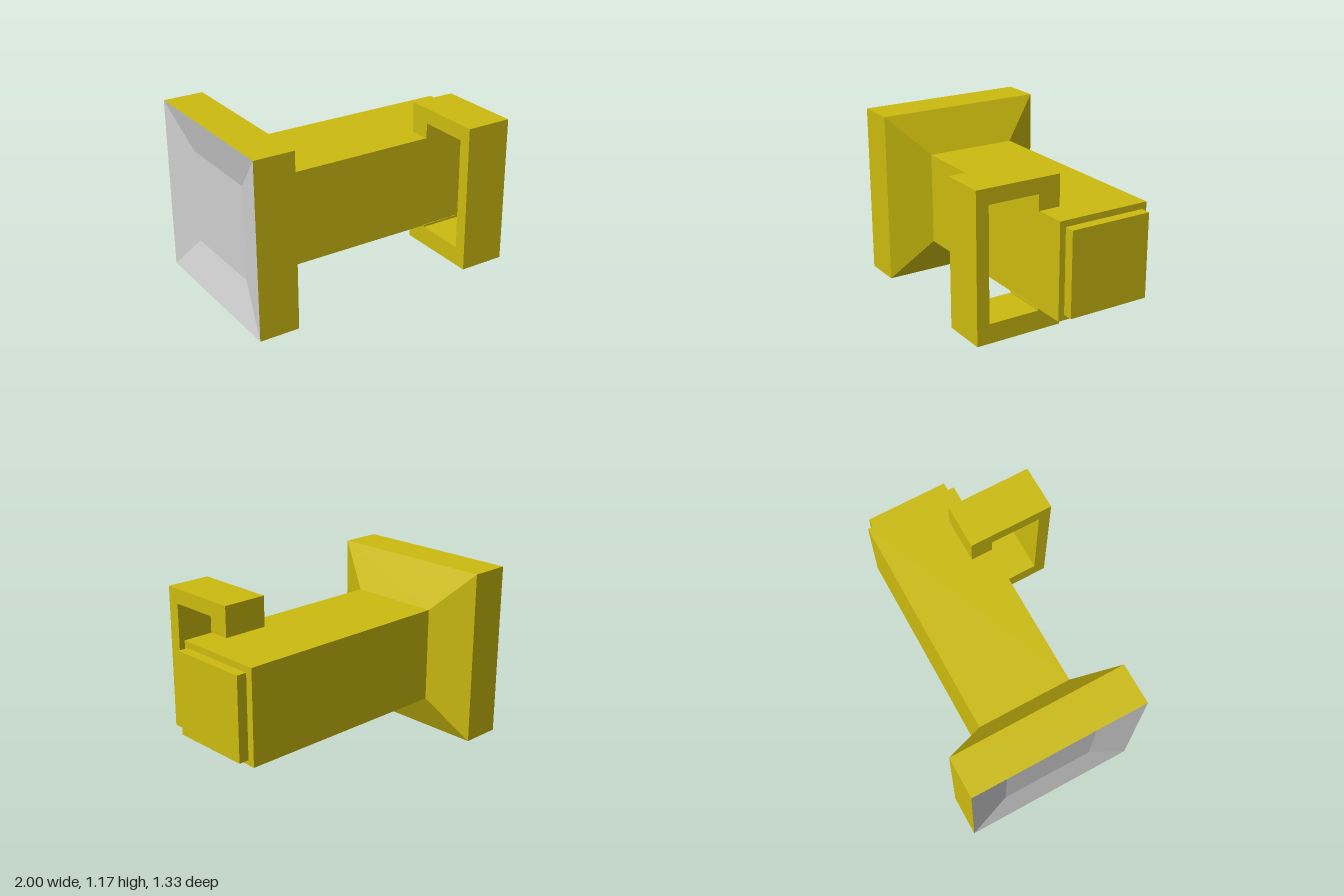
import * as THREE from 'three';

const MID_Y = 0.59, MID_Z = -0.08;

// Square-section surface along x; profile is a list of [x, half width]
function squareLoft(profile) {
  const points = profile.map(([x, half]) => new THREE.Vector2(half * Math.SQRT2, x));
  const geometry = new THREE.LatheGeometry(points, 4, Math.PI / 4).toNonIndexed();
  geometry.rotateZ(-Math.PI / 2);
  geometry.translate(0, MID_Y, MID_Z);
  geometry.computeVertexNormals();
  return geometry;
}

// Corner list in (z, y), extruded from x0 to x1
const outline = (corners) => corners.map(([z, y]) => new THREE.Vector2(-z, y));
const rect = (z0, z1, y0, y1) => [[z0, y0], [z1, y0], [z1, y1], [z0, y1]];

function extrudeX(corners, x0, x1, holes = []) {
  const shape = new THREE.Shape(outline(corners));
  holes.forEach((hole) => shape.holes.push(new THREE.Path(outline(hole))));
  const geometry = new THREE.ExtrudeGeometry(shape, { depth: x1 - x0, bevelEnabled: false });
  geometry.rotateY(Math.PI / 2);
  geometry.translate(x0, 0, 0);
  return geometry;
}

export function createModel() {
  const yellow = new THREE.MeshStandardMaterial({ color: 0xccbb0f, flatShading: true });
  yellow.name = 'mustardYellow';
  const grey = new THREE.MeshStandardMaterial({ color: 0xd0d0d0, flatShading: true });
  grey.name = 'lightGrey';

  const model = new THREE.Group();
  model.name = 'squareHornDevice';
  const add = (name, geometry, material) => {
    const mesh = new THREE.Mesh(geometry, material);
    mesh.name = name;
    model.add(mesh);
  };

  // Flared head, barrel and the short neck behind the end plate
  add('hornBody', squareLoft([
    [-1, 0.587], [-0.73, 0.587], [-0.59, 0.315], [0.925, 0.315],
    [0.925, 0.257], [0.935, 0.257], [0.935, 0],
  ]), yellow);

  // Shallow dished face of the head
  add('dishedFace', squareLoft([[-0.935, 0], [-0.935, 0.315], [-1, 0.587]]), grey);

  // End plate with two slots
  add('slottedEndPlate', extrudeX(rect(-0.355, 0.2, 0.313, 0.867), 0.932, 1, [
    rect(0.014, 0.06, 0.403, 0.78),
    rect(-0.233, -0.187, 0.412, 0.772),
  ]), yellow);

  // C-shaped grip, joined to the top and underside of the barrel
  add('handle', extrudeX([
    [0.093, 0.9], [0.093, 1.11], [0.667, 1.11], [0.667, 0.137], [0.08, 0.137],
    [0.08, 0.266], [0.093, 0.28], [0.24, 0.28], [0.24, 0.265],
    [0.583, 0.265], [0.583, 1.01], [0.24, 1.01], [0.24, 0.9],
  ], 0.41, 0.717), yellow);

  return model;
}
